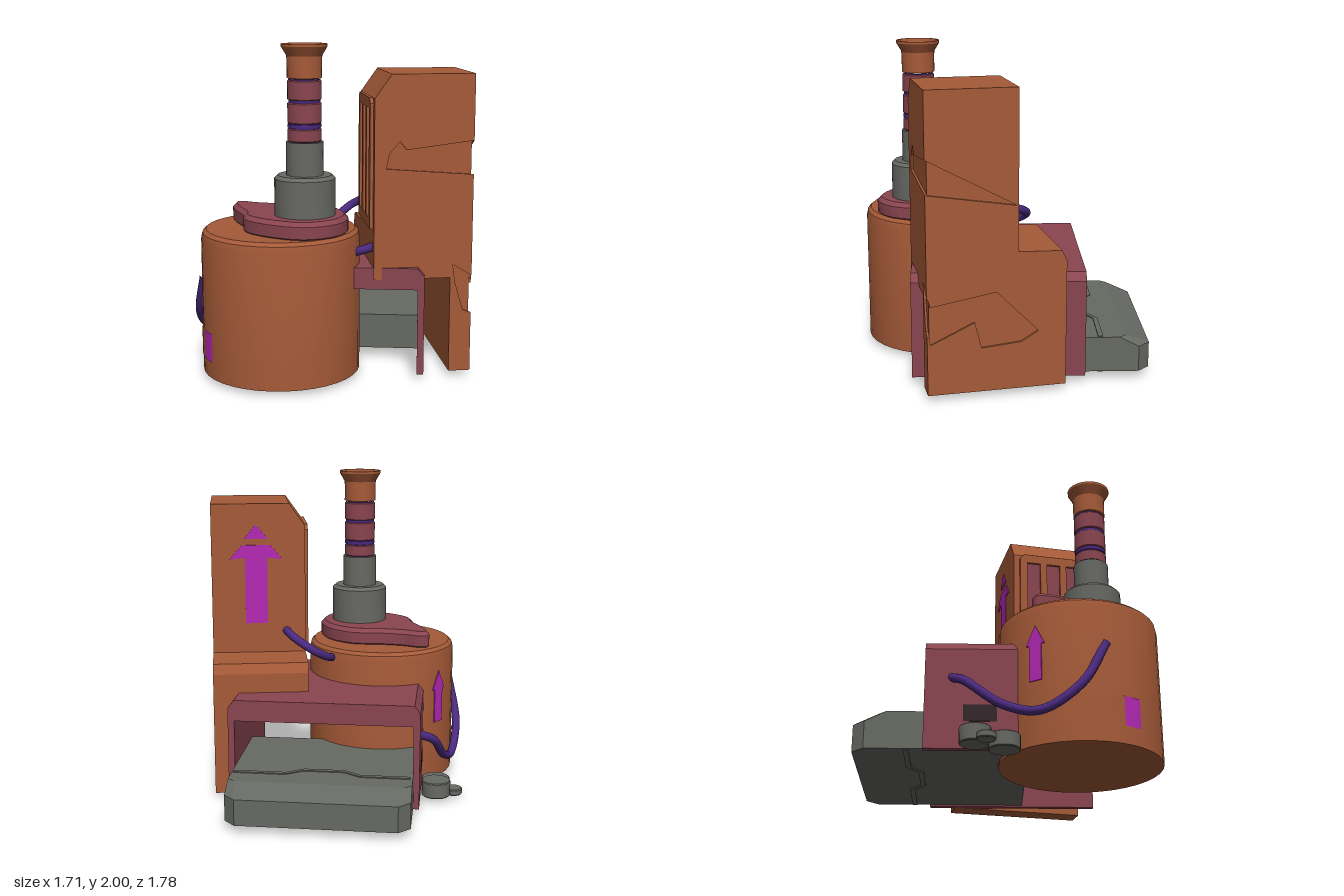
import * as THREE from 'three';
import { toCreasedNormals } from 'three/addons/utils/BufferGeometryUtils.js';

const paint = (name, color) => {
  const m = new THREE.MeshStandardMaterial({ color });
  m.name = name;
  return m;
};

export function createModel() {
  const orange = paint('rust orange', 0xa55a38);
  const maroon = paint('maroon', 0x8a4550);
  const grey = paint('warm grey', 0x676963);
  const purple = paint('cable purple', 0x4b2a80);
  const magenta = paint('magenta', 0xb428b4);
  const soot = paint('soot', 0x33262a);
  const root = new THREE.Group();
  root.name = 'machine';

  const add = (name, geo, mat, parent = root, x = 0, y = 0, z = 0) => {
    const m = new THREE.Mesh(geo, mat);
    m.name = name;
    m.position.set(x, y, z);
    parent.add(m);
    return m;
  };
  const poly = pts => new THREE.Shape(pts.map(p => new THREE.Vector2(p[0], p[1])));
  const slab = (pts, depth) => new THREE.ExtrudeGeometry(poly(pts), { depth, bevelEnabled: false });
  const box = (name, x0, x1, y0, y1, z0, z1, mat, parent = root) =>
    add(name, new THREE.BoxGeometry(x1 - x0, y1 - y0, z1 - z0), mat, parent,
      (x0 + x1) / 2, (y0 + y1) / 2, (z0 + z1) / 2);
  const lathe = (name, pts, mat, x, z, sides = 32) =>
    add(name, toCreasedNormals(new THREE.LatheGeometry(pts.map(p => new THREE.Vector2(p[0], p[1])), sides), 0.5),
      mat, root, x, 0, z);
  const cable = (name, pts) => {
    const curve = new THREE.CatmullRomCurve3(pts.map(p => new THREE.Vector3(...p)));
    add(name, new THREE.TubeGeometry(curve, 40, 0.026, 10), purple);
  };

  // Drum with a bevelled rim
  const DX = -0.3, DZ = 0.41, R = 0.478;
  lathe('drum', [[0, 0.03], [R, 0.03], [R, 0.84], [R - 0.008, 0.88], [R - 0.03, 0.9], [0, 0.9]], orange, DX, DZ, 36);

  // Teardrop plate on the drum
  const tear = new THREE.Shape(new THREE.CatmullRomCurve3([
    [-0.615, 0.19], [-0.61, 0.15], [-0.56, 0.135], [-0.47, 0.17], [-0.33, 0.19], [-0.14, 0.19], [-0.04, 0.24],
    [0.04, 0.32], [0.105, 0.5], [0.05, 0.69], [-0.12, 0.79], [-0.35, 0.71], [-0.48, 0.59], [-0.505, 0.47], [-0.585, 0.3],
  ].map(p => new THREE.Vector3(p[0], -p[1], 0)), true).getPoints(60).slice(0, 60)
    .map(p => new THREE.Vector2(p.x, p.y)));
  const tearGeo = new THREE.ExtrudeGeometry(tear, {
    depth: 0.07, bevelThickness: 0.025, bevelSize: 0.025, bevelOffset: -0.015, bevelSegments: 1,
  });
  add('teardropPlate', toCreasedNormals(tearGeo.rotateX(-Math.PI / 2), 0.5), maroon, root, 0, 0.908, 0);

  // Chimney stack
  const CX = -0.14, CZ = 0.525;
  lathe('chimneyBase', [[0.18, 1], [0.18, 1.22], [0.16, 1.24], [0.11, 1.24], [0.11, 1.435], [0, 1.435]], grey, CX, CZ);
  lathe('chimneyCore', [[0.093, 1.43], [0.093, 1.8]], purple, CX, CZ);
  for (const [a, b] of [[1.435, 1.515], [1.54, 1.665], [1.675, 1.795]])
    lathe('chimneyRing', [[0.09, a], [0.1, a + 0.008], [0.1, b - 0.008], [0.09, b]], maroon, CX, CZ);
  lathe('chimneyCollar', [[0.09, 1.516], [0.098, 1.518], [0.098, 1.538], [0.09, 1.54]], purple, CX, CZ);
  lathe('chimneyMouth', [[0.09, 1.8], [0.102, 1.805], [0.102, 1.93], [0.135, 1.985], [0.135, 2], [0.122, 2], [0.108, 1.95]],
    orange, CX, CZ);
  lathe('chimneyBore', [[0.108, 1.95], [0.1, 1.9], [0, 1.9]], soot, CX, CZ);

  // Arched frame, open at front and back
  add('frame', slab([
    [-0.6, 0.04], [-0.56, 0.04], [-0.56, 0.56], [0.53, 0.56], [0.53, 0.04], [0.57, 0.04],
    [0.57, 0.64], [0.53, 0.69], [-0.565, 0.69], [-0.6, 0.64],
  ], 1.05), maroon, root, 0, 0, -0.49);
  box('wallOpening', -0.603, -0.598, 0.2, 0.3, -0.27, -0.08, soot);

  // Grey tray with cut corners and a sloping back edge
  const F = 0.1;
  const plan = [[-0.565, F], [-0.565, -0.82], [-0.495, -0.89], [0.46, -0.89], [0.53, -0.82], [0.53, F]];
  const top = [[-0.565, F], [-0.565, -0.7], [-0.525, -0.74], [0.49, -0.74], [0.53, -0.7], [0.53, F]];
  add('tray', loft([[plan, 0.05], [plan, 0.21], [top, 0.27]]), grey);

  // Zigzag ribs above and below the tray
  const zig = [[-0.55, -0.6], [-0.25, -0.6], [-0.15, -0.53], [0.1, -0.53], [0.2, -0.6], [0.52, -0.6]];
  const strip = [...zig, ...zig.map(([x, z]) => [x, z + 0.03]).reverse()].map(([x, z]) => [x, -z]);
  for (const y of [0.268, 0.044])
    add('trayRib', slab(strip, 0.008).rotateX(-Math.PI / 2), grey, root, 0, y, 0);

  // Tower, turned slightly; its local origin is the front left lower corner
  const tower = new THREE.Group();
  tower.name = 'tower';
  tower.position.set(0.27, 0, 0.57);
  tower.rotation.y = 0.2;
  root.add(tower);
  const W = 0.59, D = 0.83, U = 0.54, T = 0.013;
  add('towerBody', slab([[0, 0.62], [W - T, 0.62], [W - T, 1.83], [0.1, 1.83], [0, 1.69]], U - T), orange, tower, 0, 0, -U);
  box('towerLeg', 0.46, W - T, 0.04, 0.62, -D, -T, orange, tower);
  // Side profiles run along -z and are extruded toward +x
  const sidePanel = (name, geo, mat, x) => {
    add(name, geo, mat, tower, x).rotation.y = Math.PI / 2;
  };
  sidePanel('towerRear', slab([[U - 0.01, 0.62], [D, 0.62], [D, 0.81], [D - 0.03, 0.87], [U - 0.01, 0.88]], W - T), orange, 0);

  // Outer skins, cut away to leave the shallow recesses
  add('frontSkin', slab([
    [0, 0.62], [0.46, 0.62], [0.46, 0.04], [W, 0.04], [W, 0.4], [0.54, 0.42], [0.49, 0.59], [0.475, 0.7], [W, 0.63],
    [W, 1.24], [0.07, 1.28], [0.09, 1.37], [0.15, 1.44], [0.19, 1.39], [W, 1.44], [W, 1.83], [0.1, 1.83], [0, 1.69],
  ], T), orange, tower, 0, 0, -T);
  sidePanel('sideSkin', slab([
    [0, 0.04], [D, 0.04], [D, 0.81], [D - 0.03, 0.87], [U, 0.88], [U, 1.83], [0, 1.83], [0, 1.44], [U - 0.01, 1.155],
    [0, 1.24], [0, 0.65], [0.02, 0.58], [0.41, 0.645], [0.66, 0.39], [0.56, 0.33], [0.32, 0.31], [0.28, 0.47],
    [0.02, 0.35], [0, 0.4],
  ], T), orange, W - T);

  // Vent with three slots on the inner side
  const vent = poly([[0.04, 0.92], [0.5, 0.92], [0.5, 1.66], [0.47, 1.69], [0.07, 1.69], [0.04, 1.66]]);
  for (const u of [0.09, 0.225, 0.36])
    vent.holes.push(new THREE.Path([[u, 0.98], [u, 1.63], [u + 0.09, 1.63], [u + 0.09, 0.98]]
      .map(p => new THREE.Vector2(p[0], p[1]))));
  sidePanel('ventFrame', new THREE.ExtrudeGeometry(vent, { depth: 0.022, bevelEnabled: false }), orange, -0.02);
  box('ventBacking', -0.004, 0.002, 0.95, 1.66, -0.48, -0.06, maroon, tower);

  // Arrow on the tower's back
  const arrow = new THREE.Group();
  arrow.name = 'towerArrow';
  arrow.position.set(0.31, 0, -U - 0.005);
  tower.add(arrow);
  add('arrowShaft', slab([[-0.07, 1.07], [0.07, 1.07], [0.07, 1.49], [0.165, 1.48], [0.09, 1.57], [-0.09, 1.57],
    [-0.165, 1.48], [-0.07, 1.49]], 0.008), magenta, arrow);
  add('arrowTip', slab([[-0.075, 1.61], [0.075, 1.61], [0, 1.7]], 0.008), magenta, arrow);

  // Drum markings
  const a = Math.atan2(-0.816, -0.576);
  add('drumArrow', slab([[-0.04, 0.41], [0.04, 0.41], [0.04, 0.63], [0.06, 0.63], [0, 0.75], [-0.06, 0.63], [-0.04, 0.63]], 0.009),
    magenta, root, DX + Math.sin(a) * 0.474, 0, DZ + Math.cos(a) * 0.474).rotation.y = a;
  const patch = (name, r, from, to, mat) => add(name, new THREE.CylinderGeometry(r, r, 0.175, 10, 1, true,
    -to * Math.PI / 180, (to - from) * Math.PI / 180), mat, root, DX, 0.22, DZ);
  patch('drumPatch', 0.482, 64, 98, orange);
  patch('drumMark', 0.482, 51, 64, magenta);

  // Cables
  cable('sideCable', [[-0.58, 0.47, -0.34], [-0.67, 0.42, -0.27], [-0.735, 0.25, -0.05], [-0.785, 0.2, 0.15],
    [-0.81, 0.35, 0.38], [-0.75, 0.62, 0.53]]);
  cable('rearCable', [[0.29, 1.02, 0.04], [0.22, 1, -0.09], [0.1, 0.94, -0.15], [0.02, 0.88, -0.08], [-0.01, 0.84, 0.05]]);
  cable('shortCable', [[0.15, 0.77, 0.5], [0.21, 0.79, 0.51], [0.27, 0.81, 0.5]]);

  // Loose drums on the ground
  for (const [x, z, r, y0, y1] of [[-0.695, -0.2, 0.09, 0.03, 0.13], [-0.69, -0.04, 0.09, 0, 0.09], [-0.805, -0.14, 0.055, 0.02, 0.06]])
    lathe('canister', [[0, y0], [r - 0.005, y0], [r, y0 + 0.006], [r, y1 - 0.006], [r - 0.005, y1], [0, y1]], grey, x, z, 20);

  return root;
}

// Closed solid through plan outlines [points, height]; outlines run clockwise from above
function loft(rings) {
  const n = rings[0][0].length, pos = [], idx = [];
  for (const [pts, y] of rings) for (const [x, z] of pts) pos.push(x, y, z);
  for (let k = 0; k < rings.length - 1; k++)
    for (let i = 0; i < n; i++) {
      const a = k * n + i, b = k * n + (i + 1) % n;
      idx.push(a, a + n, b, b, a + n, b + n);
    }
  const t = (rings.length - 1) * n;
  for (let i = 1; i < n - 1; i++) idx.push(0, i, i + 1, t, t + i + 1, t + i);
  const g = new THREE.BufferGeometry();
  g.setAttribute('position', new THREE.Float32BufferAttribute(pos, 3));
  g.setIndex(idx);
  const flat = g.toNonIndexed();
  flat.computeVertexNormals();
  return flat;
}
